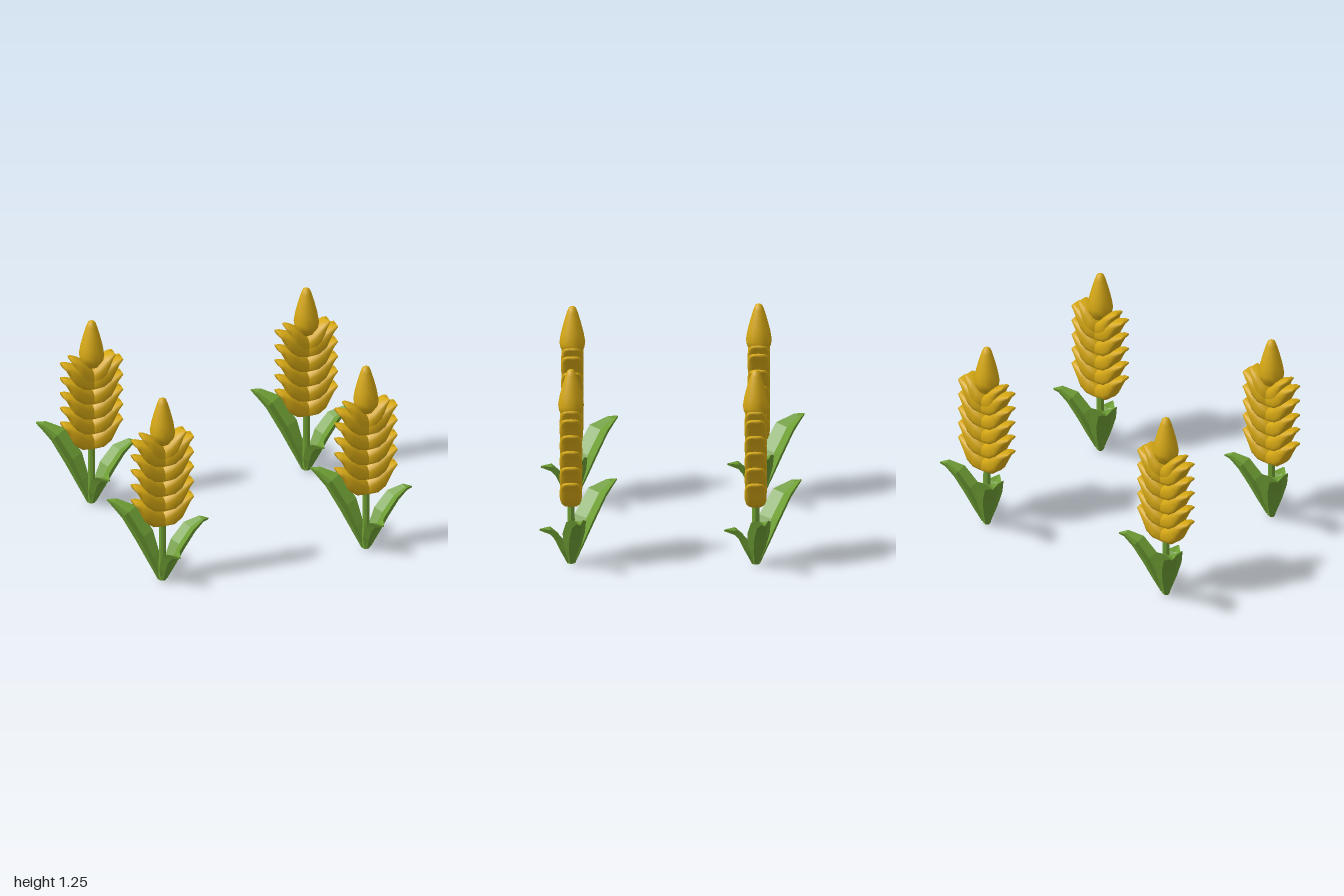
import * as THREE from 'three';

const green = new THREE.MeshStandardMaterial({ color: 0x6e9e34, flatShading: true });
const gold = new THREE.MeshStandardMaterial({ color: 0xd6a814 });

// Skins a list of equal-length rings of [x, y, z] points and closes both ends
function loft(rings) {
  const n = rings[0].length, index = [];
  for (let i = 0; i < rings.length - 1; i++) {
    for (let j = 0; j < n; j++) {
      const a = i * n + j, b = i * n + (j + 1) % n;
      index.push(a, b, b + n, a, b + n, a + n);
    }
  }
  const last = (rings.length - 1) * n;
  for (let j = 1; j < n - 1; j++) {
    index.push(0, j + 1, j, last, last + j, last + j + 1);
  }
  const geo = new THREE.BufferGeometry();
  geo.setAttribute('position', new THREE.Float32BufferAttribute(rings.flat(2), 3));
  geo.setIndex(index);
  geo.computeVertexNormals();
  return geo;
}

// Channelled leaf reaching along +x; stations are [reach, height, half width]
function leafGeometry(stations) {
  return loft(stations.map(([x, y, w], i) => {
    const p = stations[Math.max(i - 1, 0)];
    const q = stations[Math.min(i + 1, stations.length - 1)];
    const len = Math.hypot(q[0] - p[0], q[1] - p[1]);
    const nx = -(q[1] - p[1]) / len, ny = (q[0] - p[0]) / len;
    const fold = w * 0.3 + 0.004;
    const at = (n, z) => [x + nx * n, y + ny * n, z];
    return [at(0.004, 0), at(fold, w), at(-fold, w * 0.5), at(-fold, -w * 0.5), at(fold, -w)];
  }));
}

// Grain curving outwards and up; stations are [outer x, outer y, inner x, inner y, half depth]
function grainGeometry() {
  const stations = [
    [0, 0.385, 0, 0.48, 0.06],
    [0.07, 0.39, 0.045, 0.515, 0.067],
    [0.115, 0.425, 0.085, 0.548, 0.07],
    [0.138, 0.475, 0.12, 0.563, 0.066],
    [0.165, 0.53, 0.158, 0.574, 0.058],
    [0.195, 0.562, 0.19, 0.578, 0.042],
  ];
  const sides = 14;
  const round = (v) => Math.sign(v) * Math.abs(v) ** 0.75;
  return loft(stations.map(([ox, oy, ix, iy, d]) =>
    Array.from({ length: sides }, (_, j) => {
      const a = (j / sides) * Math.PI * 2;
      const c = round(Math.cos(a)), s = round(Math.sin(a));
      return [(ox + ix) / 2 + (ix - ox) / 2 * c, (oy + iy) / 2 + (iy - oy) / 2 * c, d * s];
    })));
}

function createPlant() {
  const plant = new THREE.Group();
  const add = (name, geo, mat) => {
    const mesh = new THREE.Mesh(geo, mat);
    mesh.name = name;
    plant.add(mesh);
    return mesh;
  };

  // Stem
  add('stem', new THREE.CylinderGeometry(0.022, 0.025, 0.42, 8).translate(0, 0.22, 0), green);

  // Three leaves, each turned towards its own direction (x, z)
  const leaves = [
    ['backLeaf', -0.27, -0.28, [[0.015, 0.01, 0.022], [0.07, 0.14, 0.06], [0.135, 0.27, 0.085],
      [0.24, 0.41, 0.08], [0.34, 0.46, 0.035], [0.385, 0.468, 0.003]]],
    ['sideLeaf', 0.32, -0.06, [[0.02, 0.02, 0.022], [0.065, 0.12, 0.055], [0.12, 0.22, 0.07],
      [0.2, 0.315, 0.062], [0.28, 0.355, 0.03], [0.325, 0.348, 0.003]]],
    ['frontLeaf', 0.05, 0.19, [[0.015, 0.015, 0.018], [0.05, 0.1, 0.045], [0.085, 0.18, 0.055],
      [0.13, 0.225, 0.045], [0.2, 0.238, 0.003]]],
  ];
  for (const [name, x, z, stations] of leaves) {
    add(name, leafGeometry(stations), green).rotation.y = Math.atan2(-z, x);
  }

  // Mirrored pairs of grains stacked up the ear, the last pair narrower
  const grain = grainGeometry();
  for (let i = 0; i < 6; i++) {
    for (const turn of [0, Math.PI]) {
      const mesh = add('grain', grain, gold);
      mesh.position.y = i < 5 ? i * 0.1025 : 0.45;
      mesh.rotation.y = turn;
      if (i === 5) mesh.scale.x = 0.74;
    }
  }

  // Pointed bud on top
  const profile = [[0, 0.93], [0.045, 0.95], [0.073, 0.99], [0.08, 1.03], [0.07, 1.09],
    [0.052, 1.16], [0.034, 1.22], [0.022, 1.25], [0.01, 1.258], [0, 1.26]];
  add('bud', new THREE.LatheGeometry(profile.map(([r, y]) => new THREE.Vector2(r, y)), 12), gold);
  return plant;
}

export function createModel() {
  const model = new THREE.Group();
  model.name = 'grainPlants';
  const spots = [[-0.73, -0.54], [0.67, -0.54], [-0.66, 0.61], [0.67, 0.6]];
  for (const [x, z] of spots) {
    const plant = createPlant();
    plant.name = 'plant';
    plant.position.set(x, 0, z);
    model.add(plant);
  }
  return model;
}
